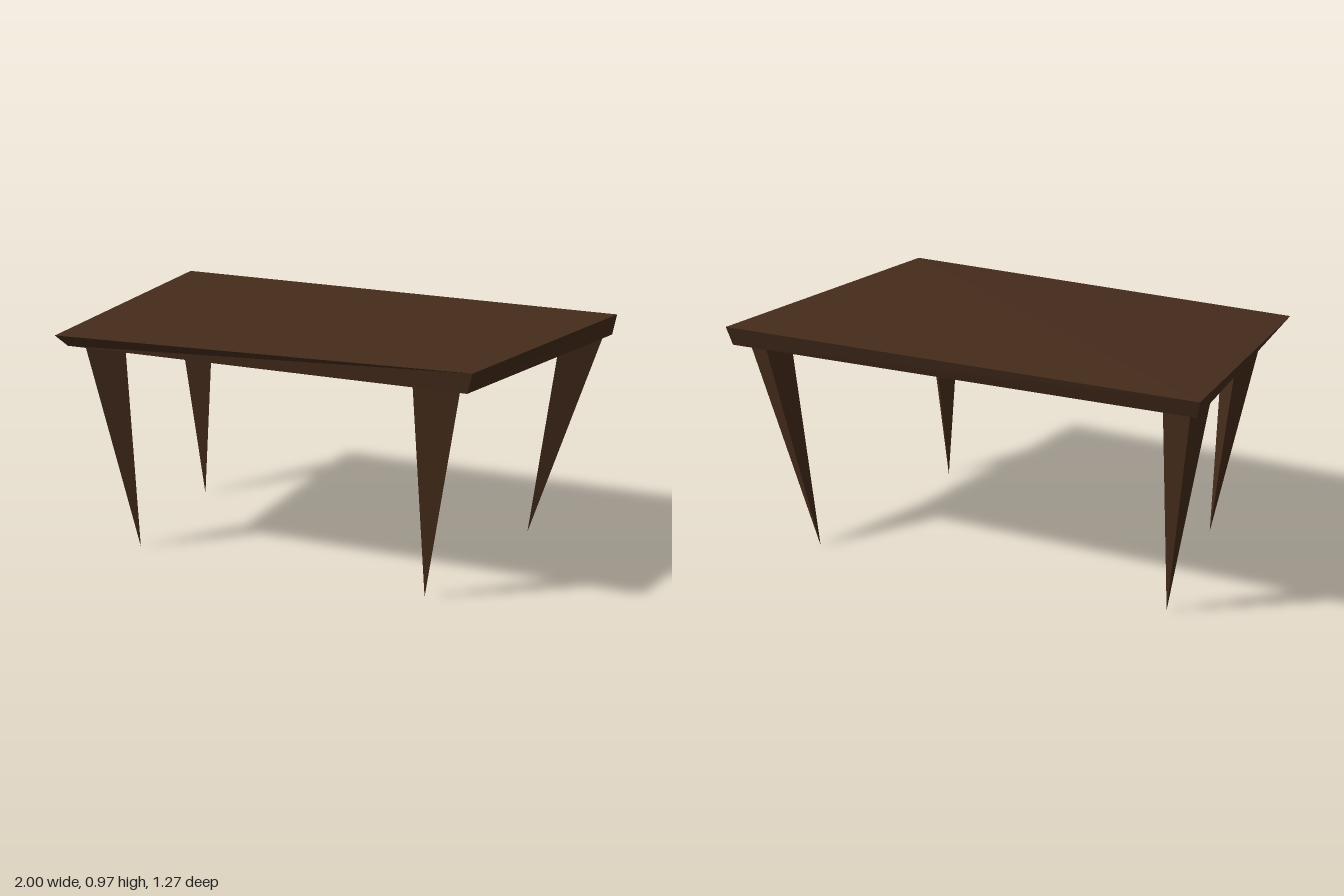
import * as THREE from 'three';

const wood = new THREE.MeshStandardMaterial({ color: 0x452c1b, flatShading: true });

// Closed solid between two matching rings, each counter-clockwise from above.
// A lower ring of a single point gives an inverted pyramid.
function solid(name, lower, upper) {
  const n = upper.length;
  const isPoint = lower.length === 1;
  const low = (i) => (isPoint ? lower[0] : lower[i % n]);
  const pos = [];
  const tri = (a, b, c) => pos.push(...a, ...b, ...c);
  for (let i = 0; i < n; i++) {
    const next = upper[(i + 1) % n];
    tri(low(i), next, upper[i]);
    if (!isPoint) tri(low(i), low(i + 1), next);
  }
  for (let i = 1; i < n - 1; i++) {
    tri(upper[0], upper[i], upper[i + 1]);
    if (!isPoint) tri(low(0), low(i + 1), low(i));
  }
  const geometry = new THREE.BufferGeometry();
  geometry.setAttribute('position', new THREE.Float32BufferAttribute(pos, 3));
  geometry.computeVertexNormals();
  const mesh = new THREE.Mesh(geometry, wood);
  mesh.name = name;
  return mesh;
}

export function createModel() {
  const table = new THREE.Group();
  table.name = 'table';

  // Crooked top, undercut along its rim
  table.add(solid('tableTop',
    [[-0.98, 0.9, -0.55], [-0.85, 0.875, 0.6], [0.83, 0.865, 0.55], [0.99, 0.865, -0.615]],
    [[-1, 0.97, -0.575], [-0.885, 0.92, 0.635], [0.855, 0.945, 0.565], [1, 0.945, -0.64]]));

  // Three-sided legs tapering to a point: tip [x, z], top height, top corners [x, z]
  const legs = [
    ['frontLeftLeg', [0.61, 0.39], 0.875, [[0.78, 0.485], [0.69, 0.38], [0.595, 0.5]]],
    ['frontRightLeg', [-0.67, 0.4], 0.885, [[-0.66, 0.48], [-0.768, 0.385], [-0.81, 0.545]]],
    ['backLeftLeg', [0.695, -0.5], 0.875, [[0.98, -0.53], [0.84, -0.6], [0.825, -0.455]]],
    ['backRightLeg', [-0.8, -0.335], 0.9, [[-0.81, -0.46], [-0.94, -0.51], [-0.955, -0.365]]],
  ];
  for (const [name, [tx, tz], y, corners] of legs) {
    table.add(solid(name, [[tx, 0, tz]], corners.map(([x, z]) => [x, y, z])));
  }
  return table;
}
